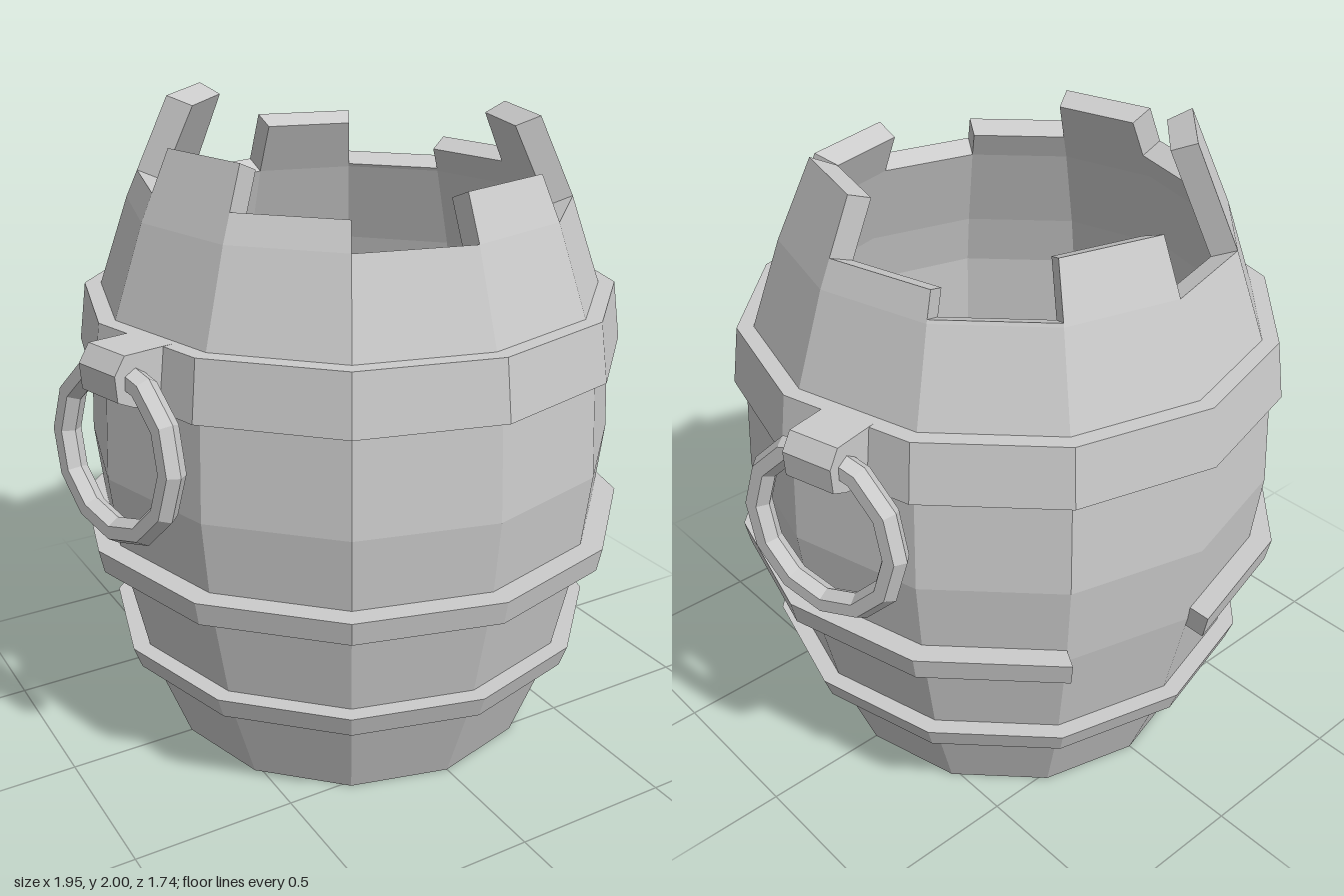
import * as THREE from 'three';

const STEP = Math.PI / 6; // one of twelve staves
const material = new THREE.MeshStandardMaterial({ color: 0xcccccc, flatShading: true, side: THREE.DoubleSide });
const points = (list) => list.map(([x, y]) => new THREE.Vector2(x, y));

function add(parent, name, geometry) {
  const mesh = new THREE.Mesh(geometry, material);
  mesh.name = name;
  parent.add(mesh);
  return mesh;
}

// Sweeps a closed (radius, y) profile around the barrel; partial sweeps get end caps
function sweep(parent, name, profile, first = 0, count = 12) {
  const part = new THREE.Group();
  part.name = name;
  parent.add(part);
  const start = first * STEP;
  add(part, name + 'Surface', new THREE.LatheGeometry(points([...profile, profile[0]]), count, start, count * STEP));
  if (count < 12) {
    for (const angle of [start, start + count * STEP]) {
      const cap = new THREE.ShapeGeometry(new THREE.Shape(points(profile)));
      add(part, name + 'End', cap.rotateY(angle - Math.PI / 2));
    }
  }
}

function createHandle(name, angle) {
  const handle = new THREE.Group();
  handle.name = name;
  // Ring hangs slightly outwards at the bottom
  const ring = new THREE.TorusGeometry(0.2375, 0.0385, 6, 12).rotateY(Math.PI / 2).rotateZ(0.07);
  add(handle, 'handleRing', ring.translate(0.905, 1.14, 0));
  // Bracket wraps over the top of the ring
  const side = new THREE.Shape(points([
    [0.76, 1.25], [0.9, 1.285], [0.95, 1.31], [0.955, 1.385], [0.92, 1.435], [0.76, 1.43],
  ]));
  const bracket = new THREE.ExtrudeGeometry(side, { depth: 0.16, bevelEnabled: false });
  add(handle, 'handleBracket', bracket.translate(0, 0, -0.08));
  handle.rotation.y = angle;
  return handle;
}

export function createModel() {
  const barrel = new THREE.Group();
  barrel.name = 'brokenBarrel';

  // Hollow body: recessed underside, outer wall, rim, inner wall, floor
  add(barrel, 'barrelBody', new THREE.LatheGeometry(points([
    [0, 0.07], [0.54, 0.07], [0.52, 0], [0.6, 0],
    [0.71, 0.29], [0.795, 0.68], [0.825, 0.95], [0.81, 1.25], [0.77, 1.43], [0.675, 1.7],
    [0.6, 1.67], [0.69, 1.4], [0.73, 1.23], [0.745, 0.95], [0.715, 0.69], [0.635, 0.32], [0.55, 0.1],
    [0, 0.1],
  ]), 12));

  // Broken stave tops, counted from the left side (+x) towards the front
  const heights = [1.94, 1.7, 1.83, 1.7, 1.78, 1.9, 1.78, 2, 1.7, 1.86, 1.71, 1.78];
  heights.forEach((top, i) => {
    if (top <= 1.7) return;
    const r = 0.675 - 0.45 * (top - 1.7);
    sweep(barrel, 'staveTop', [[0.675, 1.7], [r, top], [r - 0.075, top - 0.03], [0.6, 1.67]], 2 - i, 1);
  });

  // Hoops; the middle one is missing a piece at the back
  sweep(barrel, 'upperHoop', [[0.79, 1.25], [0.845, 1.25], [0.82, 1.43], [0.75, 1.43]]);
  sweep(barrel, 'middleHoop', [[0.78, 0.65], [0.855, 0.65], [0.87, 0.725], [0.79, 0.725]], 6, 11);
  sweep(barrel, 'lowerHoop', [[0.7, 0.29], [0.755, 0.29], [0.78, 0.36], [0.71, 0.36]]);

  barrel.add(createHandle('leftHandle', Math.PI / 12));
  barrel.add(createHandle('rightHandle', Math.PI / 12 + Math.PI));
  return barrel;
}
